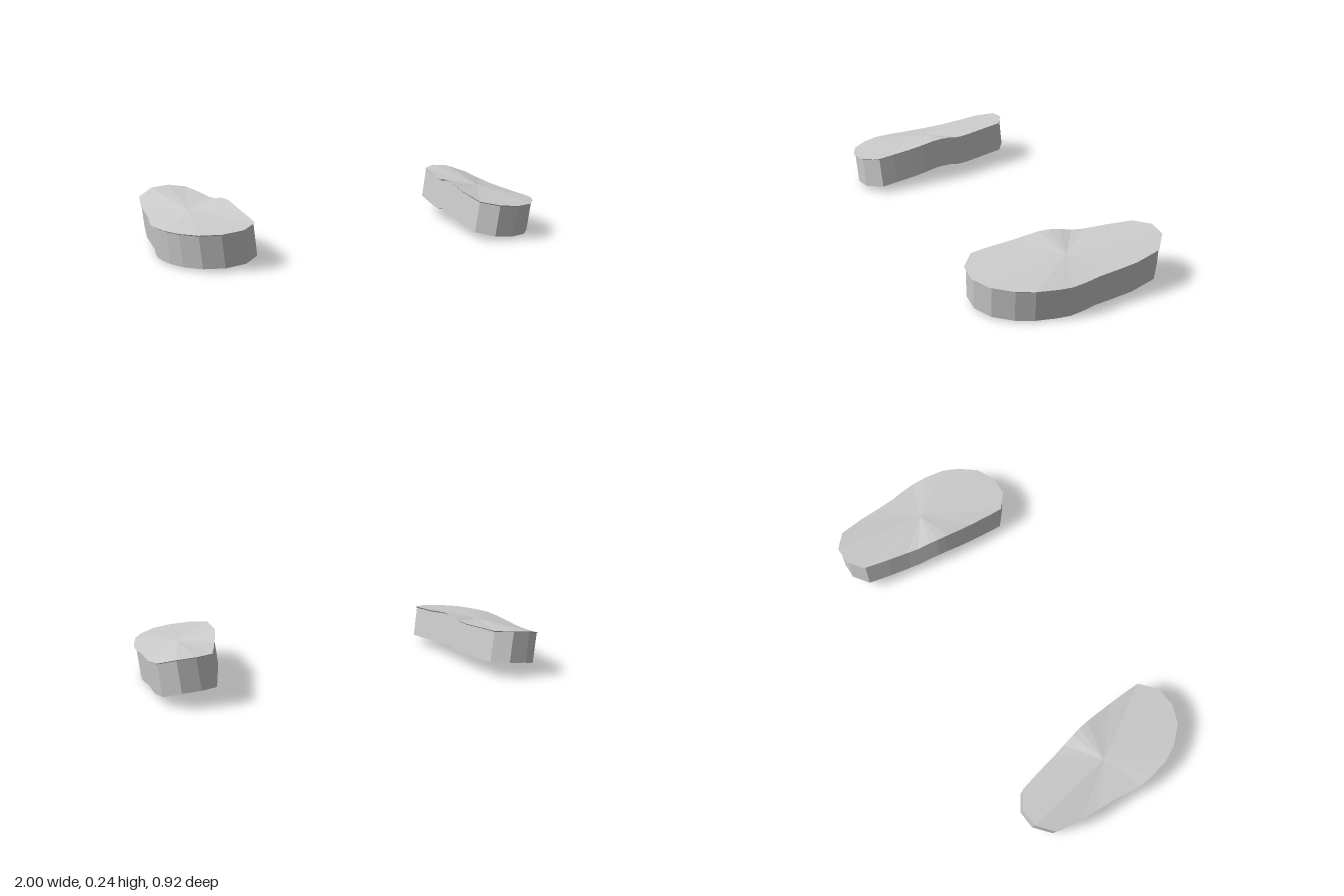
import * as THREE from 'three';

// Rim of the upper face of the left sole: [x, y, z], from the toe round the outer side
const RIM = [
  [0.67, 0.182, 0.45], [0.77, 0.174, 0.46], [0.865, 0.17, 0.42], [0.935, 0.167, 0.34],
  [0.975, 0.166, 0.26], [0.995, 0.162, 0.16], [1.0, 0.159, 0.09], [0.994, 0.163, 0.02],
  [0.982, 0.168, -0.05], [0.976, 0.174, -0.15], [0.971, 0.183, -0.25], [0.95, 0.205, -0.38],
  [0.87, 0.234, -0.45], [0.78, 0.242, -0.455], [0.7, 0.236, -0.4], [0.672, 0.23, -0.28],
  [0.65, 0.222, -0.17], [0.636, 0.223, -0.11], [0.624, 0.235, -0.05], [0.614, 0.239, 0],
  [0.608, 0.237, 0.05], [0.602, 0.226, 0.12], [0.597, 0.215, 0.2], [0.592, 0.205, 0.3],
  [0.591, 0.195, 0.38],
];
const CENTRE = [0.8, 0.2, 0.01];

// Ring pulled towards the centre by a small fixed distance, then shifted
function inset(ring, d, dx, dy, dz) {
  return ring.map(([x, y, z]) => {
    const vx = CENTRE[0] - x, vz = CENTRE[2] - z, l = Math.hypot(vx, vz);
    return [x + (vx / l) * d + dx, y + dy, z + (vz / l) * d + dz];
  });
}

// Faceted geometry from triangles; side = -1 mirrors it and flips the winding
function facets(triangles, side) {
  const pos = [];
  for (const [a, b, c] of triangles) {
    for (const p of side > 0 ? [a, b, c] : [a, c, b]) pos.push(p[0] * side, p[1], p[2]);
  }
  const g = new THREE.BufferGeometry();
  g.setAttribute('position', new THREE.Float32BufferAttribute(pos, 3));
  g.computeVertexNormals();
  return g;
}

const fan = (ring, c, up) => ring.map((p, i) => {
  const q = ring[(i + 1) % ring.length];
  return up ? [c, p, q] : [c, q, p];
});

const band = (upper, lower) => upper.flatMap((a, i) => {
  const j = (i + 1) % upper.length;
  return [[a, lower[i], lower[j]], [a, lower[j], upper[j]]];
});

export function createModel() {
  const model = new THREE.Group();
  const grey = new THREE.MeshStandardMaterial({ color: 0xcccccc });
  grey.name = 'sole grey';

  const wallTop = inset(RIM, 0.01, 0, -0.006, 0);
  const wallBottom = inset(RIM, 0.01, -0.018, -0.159, -0.008);
  // Outer and toe edges rest on the ground
  for (const p of wallBottom) p[1] = Math.max(0, p[1]);
  const bottomCentre = [CENTRE[0] - 0.018, 0.041, CENTRE[2]];

  // Footbed, overhanging lip, wall and underside of each sole
  const parts = {
    footbed: fan(RIM, CENTRE, true),
    lip: band(RIM, wallTop),
    sideWall: band(wallTop, wallBottom),
    underside: fan(wallBottom, bottomCentre, false),
  };

  for (const side of [1, -1]) {
    const sole = new THREE.Group();
    sole.name = side > 0 ? 'leftSole' : 'rightSole';
    for (const [name, triangles] of Object.entries(parts)) {
      const mesh = new THREE.Mesh(facets(triangles, side), grey);
      mesh.name = name;
      sole.add(mesh);
    }
    model.add(sole);
  }
  return model;
}
